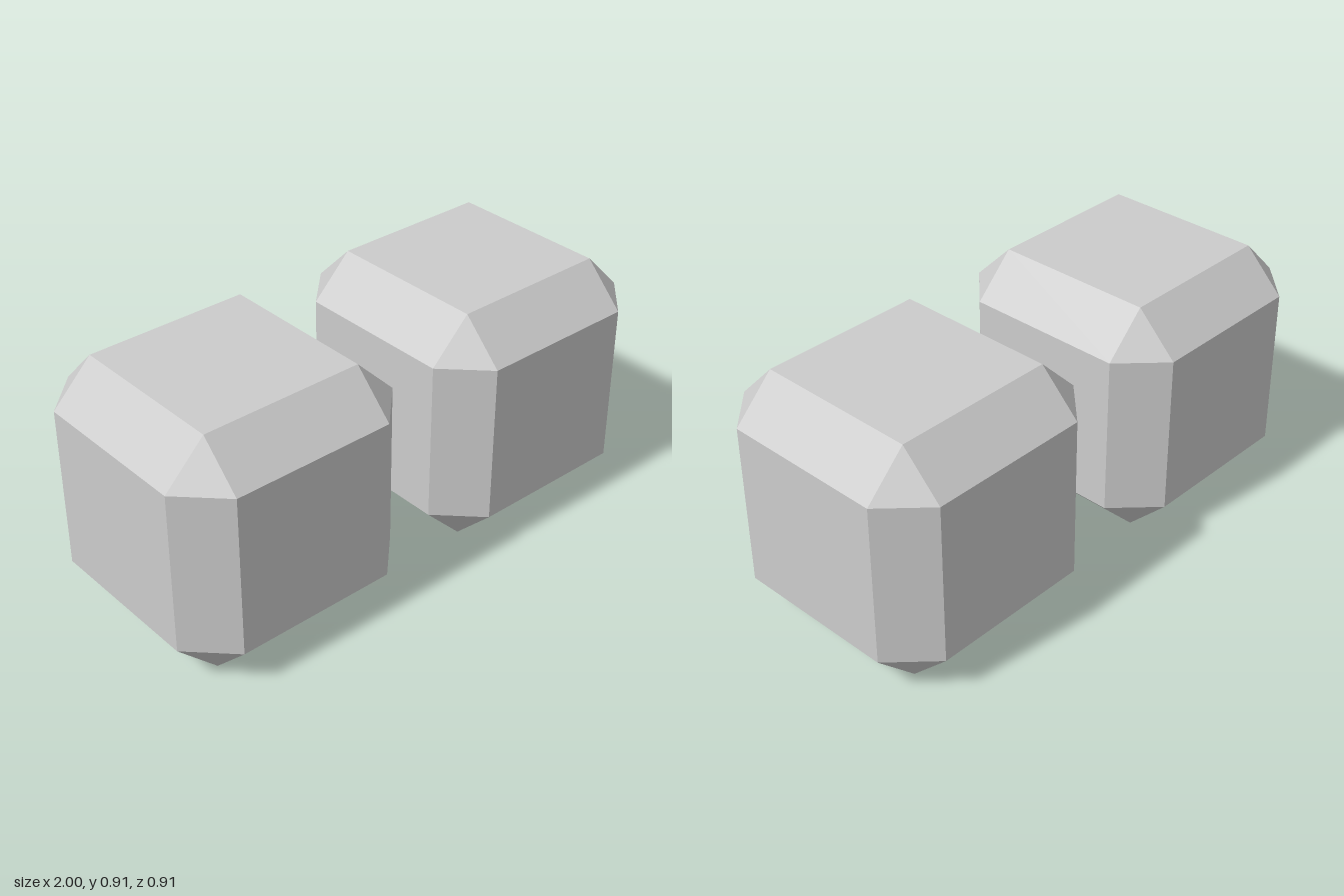
import * as THREE from 'three';
import { ConvexGeometry } from 'three/addons/geometries/ConvexGeometry.js';

const HALF = 0.4545;  // half width of a cube
const INNER = 0.303;  // half width of each flat square face
const OFFSET = 0.5455; // cube centre from the middle

// Cube with every edge bevelled flat and every corner cut to a triangle
function bevelledCube() {
  const points = [];
  for (const sx of [-1, 1]) for (const sy of [-1, 1]) for (const sz of [-1, 1]) {
    points.push(
      new THREE.Vector3(sx * HALF, sy * INNER, sz * INNER),
      new THREE.Vector3(sx * INNER, sy * HALF, sz * INNER),
      new THREE.Vector3(sx * INNER, sy * INNER, sz * HALF)
    );
  }
  return new ConvexGeometry(points);
}

export function createModel() {
  const model = new THREE.Group();
  model.name = 'bevelledCubePair';
  const material = new THREE.MeshStandardMaterial({ color: 0xcccccc, flatShading: true });
  const geometry = bevelledCube();

  // Two matching cubes side by side
  for (const [name, side] of [['leftCube', 1], ['rightCube', -1]]) {
    const cube = new THREE.Mesh(geometry, material);
    cube.name = name;
    cube.position.set(side * OFFSET, HALF, 0);
    model.add(cube);
  }
  return model;
}
